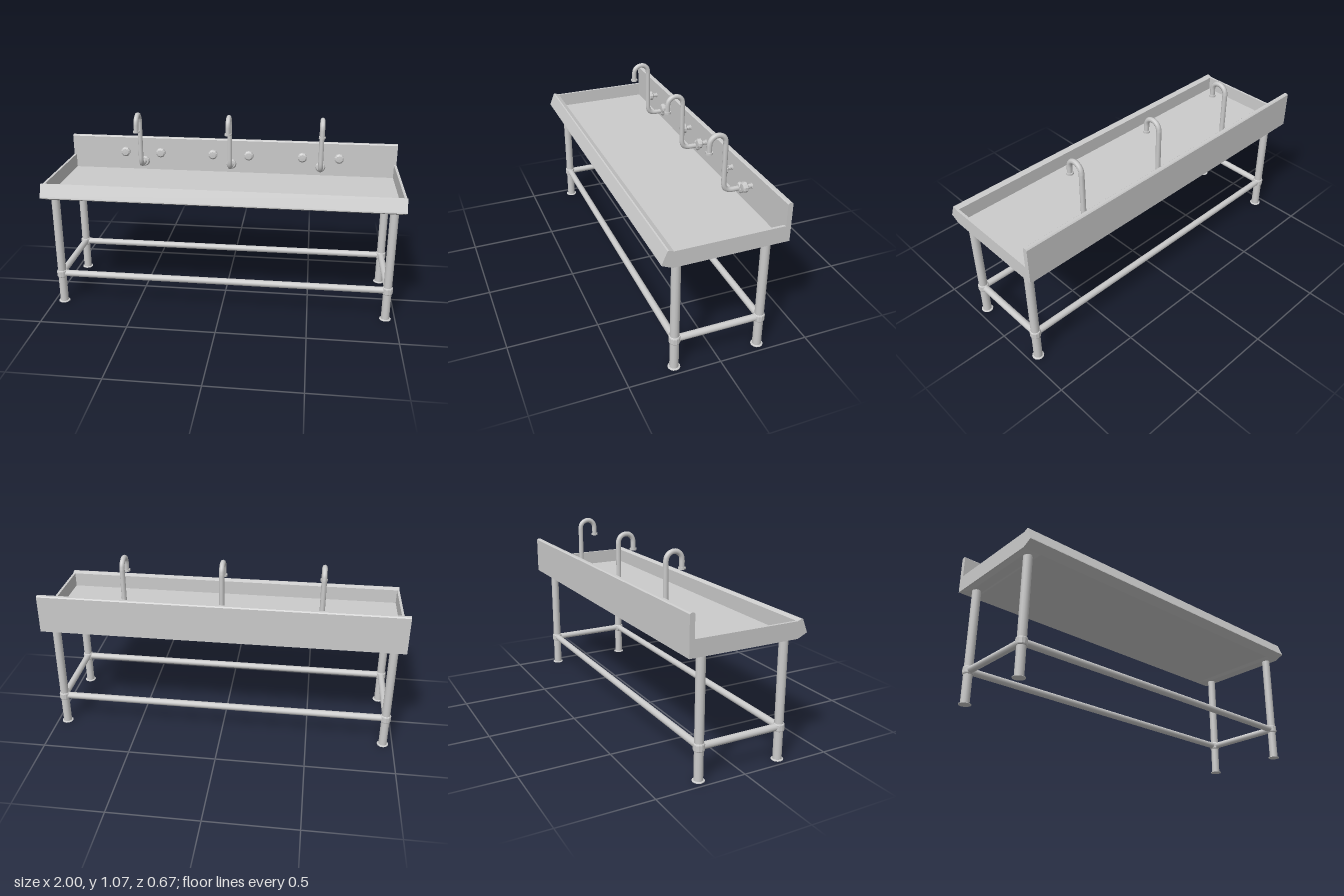
import * as THREE from 'three';

const steel = new THREE.MeshStandardMaterial({ color: 0xcccccc, metalness: 0.2, roughness: 0.5 });

function add(parent, name, geometry, x = 0, y = 0, z = 0) {
  const mesh = new THREE.Mesh(geometry, steel);
  mesh.name = name;
  mesh.position.set(x, y, z);
  parent.add(mesh);
  return mesh;
}

// Extrudes a [z, y] outline along x, centred on x = 0
function extrudeX(points, width) {
  const shape = new THREE.Shape(points.map(([z, y]) => new THREE.Vector2(z, y)));
  const g = new THREE.ExtrudeGeometry(shape, { depth: width, bevelEnabled: false });
  g.translate(0, 0, -width / 2);
  return g.rotateY(-Math.PI / 2);
}

// Faceted solid of revolution from [radius, height] pairs, bottom to top
function turned(points, sides) {
  const g = new THREE.LatheGeometry(points.map(([r, y]) => new THREE.Vector2(r, y)), sides).toNonIndexed();
  g.computeVertexNormals();
  return g;
}

function rod(radius, length, sides = 12) {
  return new THREE.CylinderGeometry(radius, radius, length, sides);
}

function buildBasin() {
  const basin = new THREE.Group();
  basin.name = 'basin';
  // Floor, slanted front apron and backsplash in one section
  add(basin, 'basinShell', extrudeX([
    [0.278, 0.66], [0.333, 0.685], [0.331, 0.692], [0.304, 0.758], [0.297, 0.76],
    [0.272, 0.75], [0.272, 0.668], [-0.305, 0.668], [-0.305, 0.869], [-0.311, 0.875],
    [-0.327, 0.875], [-0.333, 0.869], [-0.333, 0.66],
  ], 2));
  for (const s of [-1, 1]) {
    add(basin, 'endWall', extrudeX([
      [0.273, 0.662], [0.273, 0.75], [-0.306, 0.75], [-0.306, 0.662],
    ], 0.014), s * 0.993);

    // Shallow tapered channel that carries a pair of legs
    let channel = new THREE.BoxGeometry(1, 1, 1);
    const p = channel.attributes.position;
    for (let i = 0; i < p.count; i++) {
      const top = p.getY(i) > 0, front = p.getZ(i) > 0;
      p.setXYZ(i,
        Math.sign(p.getX(i)) * (top ? 0.052 : 0.026),
        top ? 0.662 : 0.648,
        top ? (front ? 0.28 : -0.331) : (front ? 0.255 : -0.24));
    }
    channel = channel.toNonIndexed();
    channel.computeVertexNormals();
    add(basin, 'legChannel', channel, s * 0.945);
  }
  return basin;
}

function buildFrame() {
  const frame = new THREE.Group();
  frame.name = 'frame';
  const lx = 0.945, lz = 0.237, railY = 0.183;
  for (const sx of [-1, 1]) {
    for (const sz of [-1, 1]) {
      const x = sx * lx, z = sz * lz;
      add(frame, 'leg', rod(0.024, 0.65), x, 0.325, z);
      add(frame, 'foot', turned([[0, 0], [0.033, 0], [0.033, 0.003], [0.024, 0.006]], 12), x, 0, z);
      add(frame, 'collar', turned([
        [0.022, 0.16], [0.028, 0.163], [0.03, 0.168], [0.03, 0.197], [0.028, 0.202], [0.022, 0.205],
      ], 12), x, 0, z);
    }
    add(frame, 'sideRail', rod(0.019, 2 * lz), sx * lx, railY, 0).rotation.x = Math.PI / 2;
    add(frame, 'longRail', rod(0.019, 2 * lx), 0, railY, sx * lz).rotation.z = Math.PI / 2;
  }
  return frame;
}

function buildFaucet() {
  const faucet = new THREE.Group();
  faucet.name = 'faucet';
  const v = (y, z) => new THREE.Vector3(0, y, z);

  // Spout: out of the wall, up, over the gooseneck and down
  const path = new THREE.CurvePath();
  path.add(new THREE.LineCurve3(v(0.722, -0.305), v(0.722, -0.25)));
  path.add(new THREE.QuadraticBezierCurve3(v(0.722, -0.25), v(0.722, -0.201), v(0.775, -0.201)));
  path.add(new THREE.LineCurve3(v(0.775, -0.201), v(1.005, -0.201)));
  const bend = [];
  for (let i = 0; i <= 8; i++) {
    const a = Math.PI * i / 8;
    bend.push(v(1.005 + 0.046 * Math.sin(a), -0.155 - 0.046 * Math.cos(a)));
  }
  path.add(new THREE.CatmullRomCurve3(bend));
  path.add(new THREE.LineCurve3(v(1.005, -0.109), v(0.96, -0.109)));
  add(faucet, 'spout', new THREE.TubeGeometry(path, 56, 0.0145, 8, false));
  add(faucet, 'nozzle', rod(0.02, 0.011), 0, 0.961, -0.109);

  // Parts turned about z, growing from the backsplash toward the front
  add(faucet, 'spoutFlange', turned([
    [0.031, 0], [0.031, 0.008], [0.024, 0.018], [0, 0.02],
  ], 12), 0, 0.722, -0.306).rotation.x = Math.PI / 2;
  for (const s of [-1, 1]) {
    add(faucet, 'tapHandle', turned([
      [0.016, 0], [0.016, 0.003], [0.012, 0.005], [0.012, 0.03], [0.02, 0.03], [0.029, 0.036],
      [0.029, 0.051], [0.02, 0.058], [0, 0.059],
    ], 10), s * 0.11, 0.79, -0.306).rotation.x = Math.PI / 2;
  }
  return faucet;
}

export function createModel() {
  const model = new THREE.Group();
  model.name = 'washTrough';
  model.add(buildBasin(), buildFrame());
  for (const x of [-0.545, 0, 0.545]) {
    const faucet = buildFaucet();
    faucet.position.x = x;
    model.add(faucet);
  }
  return model;
}
